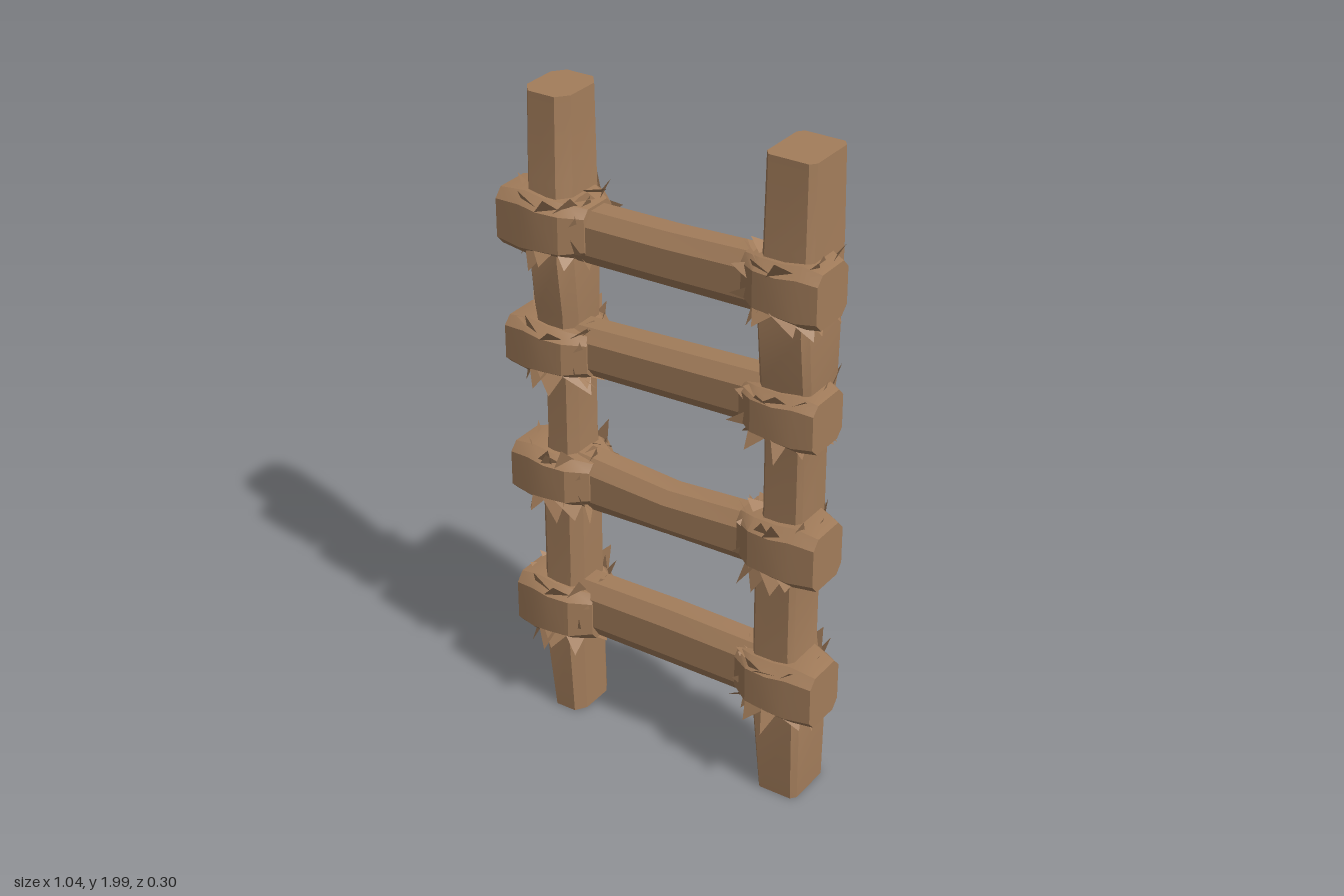
import * as THREE from 'three';
import { toCreasedNormals } from 'three/addons/utils/BufferGeometryUtils.js';

const wood = new THREE.MeshStandardMaterial({ color: 0xa37d5b, side: THREE.DoubleSide });
wood.name = 'brown wood';

let seed = 7;
const rand = () => (seed = (seed * 16807) % 2147483647) / 2147483647;

function meshFrom(name, pos, index) {
  let g = new THREE.BufferGeometry();
  g.setAttribute('position', new THREE.Float32BufferAttribute(pos, 3));
  if (index) g.setIndex(index);
  g = toCreasedNormals(g, 0.5);
  const m = new THREE.Mesh(g, wood);
  m.name = name;
  return m;
}

// Loft of chamfered rectangles along 'x' or 'y'.
// Section: [position, uMin, uMax, vMin, vMax]; (u,v) = (y,z) along x, (z,x) along y.
function hewnBeam(name, axis, sections, chamfer) {
  const pos = [], index = [], n = 8;
  const put = (t, u, v) => (axis === 'x' ? pos.push(t, u, v) : pos.push(v, t, u));
  for (const [t, u0, u1, v0, v1] of sections) {
    const cu = (u1 - u0) * chamfer, cv = (v1 - v0) * chamfer;
    const ring = [[u1, v0 + cv], [u1, v1 - cv], [u1 - cu, v1], [u0 + cu, v1],
      [u0, v1 - cv], [u0, v0 + cv], [u0 + cu, v0], [u1 - cu, v0]];
    for (const [u, v] of ring) put(t, u, v);
  }
  const last = (sections.length - 1) * n;
  for (let s = 0; s < last; s += n) {
    for (let i = 0; i < n; i++) {
      const j = (i + 1) % n;
      index.push(s + i, s + j, s + n + j, s + i, s + n + j, s + n + i);
    }
  }
  for (let i = 1; i < n - 1; i++) {
    index.push(0, i + 1, i, last, last + i, last + i + 1);
  }
  return meshFrom(name, pos, index);
}

// Jagged splinters round the post, above and below a joint, and round the rung
function splinters(name, side, x, lo, hi) {
  const pos = [], count = 11;
  for (const [edge, dir] of [[lo, -1], [hi, 1]]) {
    for (let i = 0; i < count; i++) {
      const a = (i + rand() * 0.5) / count * Math.PI * 2;
      const w = 0.3 + rand() * 0.3;
      const at = (ang, r, y) => pos.push(x + Math.cos(ang) * r * 0.92, y, Math.sin(ang) * r);
      at(a - w, 0.1, edge - dir * 0.05);
      at(a + w, 0.115, edge - dir * 0.04);
      at(a + (rand() - 0.5) * 0.6, 0.115 + rand() * 0.035, edge + dir * rand() * 0.035);
    }
  }
  const y = (lo + hi) / 2, h = (hi - lo) / 2;
  for (let i = 0; i < 8; i++) {
    const a = (i + rand() * 0.5) / 8 * Math.PI * 2;
    const at = (ang, r, px) => pos.push(px, y + Math.cos(ang) * h * r, Math.sin(ang) * 0.09 * r);
    at(a - 0.4, 0.95, side * 0.3);
    at(a + 0.4, 1, side * 0.31);
    at(a + (rand() - 0.5) * 0.4, 1 + rand() * 0.25, side * (0.23 + rand() * 0.04));
  }
  return meshFrom(name, pos);
}

export function createModel() {
  const ladder = new THREE.Group();
  ladder.name = 'ladder';

  // Uprights: y, back z, front z, inner and outer x
  const depth = [[0.01, -0.1, 0.07], [0.28, -0.1, 0.08], [0.5, -0.09, 0.065], [0.72, -0.09, 0.065],
    [0.95, -0.09, 0.06], [1.15, -0.09, 0.06], [1.36, -0.1, 0.07], [1.53, -0.11, 0.09],
    [1.75, -0.13, 0.06], [2, -0.13, 0.05]];
  const rightX = [[-0.41, -0.3], [-0.44, -0.3], [-0.44, -0.3], [-0.44, -0.3], [-0.42, -0.31],
    [-0.42, -0.31], [-0.45, -0.3], [-0.45, -0.3], [-0.47, -0.32], [-0.47, -0.325]];
  const leftX = [[0.33, 0.46], [0.31, 0.465], [0.3, 0.435], [0.3, 0.435], [0.32, 0.445],
    [0.32, 0.445], [0.305, 0.465], [0.305, 0.465], [0.3, 0.455], [0.3, 0.45]];
  const post = (name, xs, chamfer) =>
    hewnBeam(name, 'y', depth.map((d, i) => [...d, ...xs[i]]), chamfer);
  ladder.add(post('rightPost', rightX, 0.2), post('leftPost', leftX, 0.1));

  // Rungs: y range at the right, middle and left
  const rungs = [
    [[0.3, 0.48], [0.3, 0.485], [0.3, 0.48]],
    [[0.735, 0.915], [0.745, 0.89], [0.75, 0.91]],
    [[1.18, 1.33], [1.19, 1.345], [1.2, 1.36]],
    [[1.53, 1.69], [1.535, 1.695], [1.54, 1.71]],
  ];
  rungs.forEach((ys, i) => {
    ladder.add(hewnBeam('rung' + (i + 1), 'x',
      ys.map((y, k) => [(k - 1) * 0.31, ...y, -0.055, 0.065]), 0.24));
  });

  // Joints: y range and outer x of the rung end, right then left
  const joints = {
    right: [[0.27, 0.47, -0.5], [0.74, 0.92, -0.505], [1.16, 1.33, -0.51], [1.53, 1.72, -0.525]],
    left: [[0.29, 0.48, 0.52], [0.75, 0.94, 0.515], [1.18, 1.35, 0.5], [1.55, 1.73, 0.5]],
  };
  for (const [label, list] of Object.entries(joints)) {
    const side = label === 'left' ? 1 : -1;
    list.forEach(([lo, hi, end], i) => {
      const sections = [
        [end, lo + 0.01, hi - 0.01, -0.055, 0.1],
        [side * 0.44, lo, hi, -0.09, 0.11],
        [side * 0.38, lo + 0.01, hi - 0.01, -0.125, 0.115],
        [side * 0.31, lo + 0.015, hi - 0.01, -0.11, 0.11],
        [side * 0.25, lo + 0.025, hi - 0.02, -0.06, 0.07],
      ];
      if (side > 0) sections.reverse();
      const joint = new THREE.Group();
      joint.name = label + 'Joint' + (i + 1);
      joint.add(hewnBeam('rungEnd', 'x', sections, 0.16));
      joint.add(splinters('splinters', side, side * 0.37, lo, hi));
      ladder.add(joint);
    });
  }
  return ladder;
}
